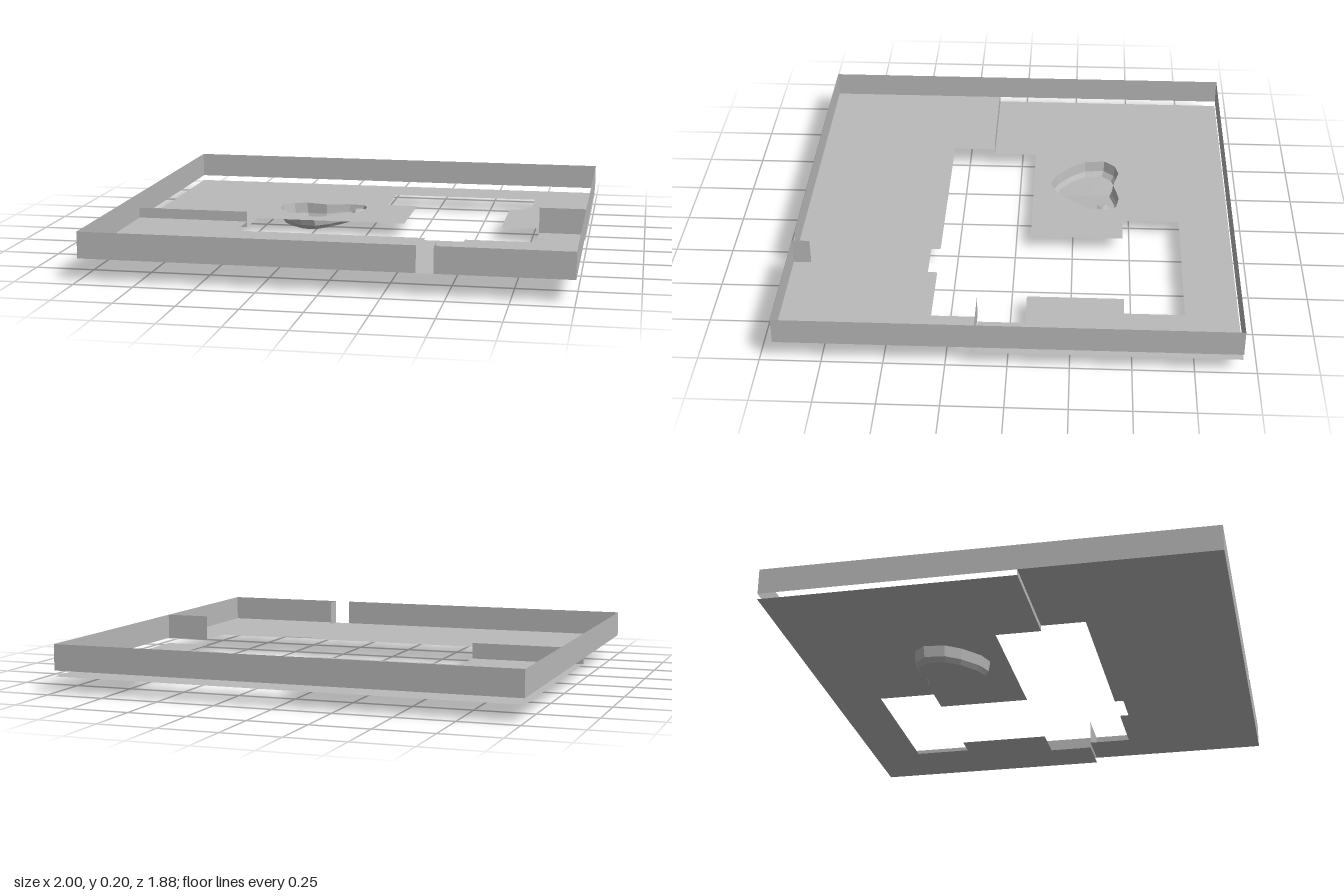
import * as THREE from 'three';

const TOP = 0.204, UPPER = 0.093, LOWER = 0.068; // wall top, front floor, sunken back floor
const D = 0.94, STEP = 0.13;                     // half depth, z of the floor step

// Heart outline of the basin as [x, z], clockwise from above
const HEART = [
  [-0.25, -0.43], [-0.19, -0.445], [-0.14, -0.455], [-0.07, -0.443], [-0.05, -0.40],
  [-0.048, -0.33], [-0.08, -0.28], [-0.13, -0.22], [-0.185, -0.17], [-0.25, -0.143],
  [-0.32, -0.168], [-0.40, -0.235], [-0.445, -0.30], [-0.454, -0.39], [-0.41, -0.44], [-0.35, -0.455],
];

export function createModel() {
  const group = new THREE.Group();
  const grey = new THREE.MeshStandardMaterial({ color: 0xbababa, side: THREE.DoubleSide });
  grey.name = 'grey';

  const add = (name, geometry) => {
    const mesh = new THREE.Mesh(geometry, grey);
    mesh.name = name;
    group.add(mesh);
    return mesh;
  };
  const outline = (points) => points.map(([x, z]) => new THREE.Vector2(x, -z));

  // Flat floor plate from an [x, z] outline, with an optional hole
  function floor(name, points, y, hole) {
    const shape = new THREE.Shape(outline(points));
    if (hole) shape.holes.push(new THREE.Path(outline(hole)));
    add(name, new THREE.ShapeGeometry(shape).rotateX(-Math.PI / 2).translate(0, y, 0));
  }

  // Sheet wall standing between two plan points
  function wall(name, [x0, z0], [x1, z1], y0 = UPPER, y1 = TOP) {
    const geo = new THREE.PlaneGeometry(Math.hypot(x1 - x0, z1 - z0), y1 - y0);
    geo.rotateY(-Math.atan2(z1 - z0, x1 - x0));
    geo.translate((x0 + x1) / 2, (y0 + y1) / 2, (z0 + z1) / 2);
    add(name, geo);
  }

  // Floors around the stepped opening
  floor('frontFloor', [
    [-1, STEP], [-1, D], [1, D], [1, STEP], [0.8, STEP], [0.8, 0.32], [0.5, 0.32], [0.5, 0.36],
    [0.33, 0.36], [0.33, 0.32], [-0.5, 0.32], [-0.5, STEP],
  ], UPPER);
  floor('backFloor', [
    [-1, -D], [-1, STEP], [-0.5, STEP], [-0.5, -0.065], [0.18, -0.065], [0.18, -0.47], [0.04, -0.47],
    [0.04, -0.72], [0.72, -0.72], [0.72, -0.47], [0.62, -0.47], [0.62, -0.065], [0.8, -0.065],
    [0.8, STEP], [1, STEP], [1, -D],
  ], LOWER, HEART);

  // Perimeter walls with a doorway in the front
  wall('frontWallRight', [-1, D], [0.38, D]);
  wall('frontWallLeft', [0.45, D], [1, D]);
  wall('doorReturn', [0.45, D], [0.45, D - 0.075]);
  wall('leftWall', [1, D], [1, -D]);
  wall('backWall', [1, -D], [-1, -D]);
  wall('rightWall', [-1, -D], [-1, D]);

  // Cross walls along the step
  wall('lowPartition', [-1, STEP], [-0.5, STEP], LOWER, 0.138);
  wall('tallPartition', [0.8, STEP], [1, STEP]);

  // Heart-shaped basin: three shrinking rings and a bottom that rises towards +x
  const cx = -0.25, cz = -0.31;
  const bottomY = (x) => Math.max(0, (x + 0.28) * 0.13);
  const ring = (scale, height) => HEART.map(([px, pz]) => {
    const x = cx + (px - cx) * scale, z = cz + (pz - cz) * scale;
    const low = bottomY(x);
    return [x, low + (LOWER - low) * height, z];
  });
  const rings = [ring(1, 1), ring(0.96, 0.3), ring(0.87, 0)];
  const centre = [cx, bottomY(cx), cz];
  const tris = [];
  for (let i = 0; i < HEART.length; i++) {
    const j = (i + 1) % HEART.length;
    for (let r = 0; r < 2; r++) {
      const a = rings[r], b = rings[r + 1];
      tris.push(a[i], b[i], a[j], a[j], b[i], b[j]);
    }
    tris.push(centre, rings[2][j], rings[2][i]);
  }
  const basin = new THREE.BufferGeometry();
  basin.setAttribute('position', new THREE.Float32BufferAttribute(tris.flat(), 3));
  basin.computeVertexNormals();
  add('heartBasin', basin);

  // Small faceted stone at the basin's back corner
  const stone = add('basinStone', new THREE.IcosahedronGeometry(1, 0));
  stone.scale.set(0.032, 0.018, 0.042);
  stone.position.set(-0.084, 0.046, -0.388);
  stone.rotation.y = -0.5;

  return group;
}
